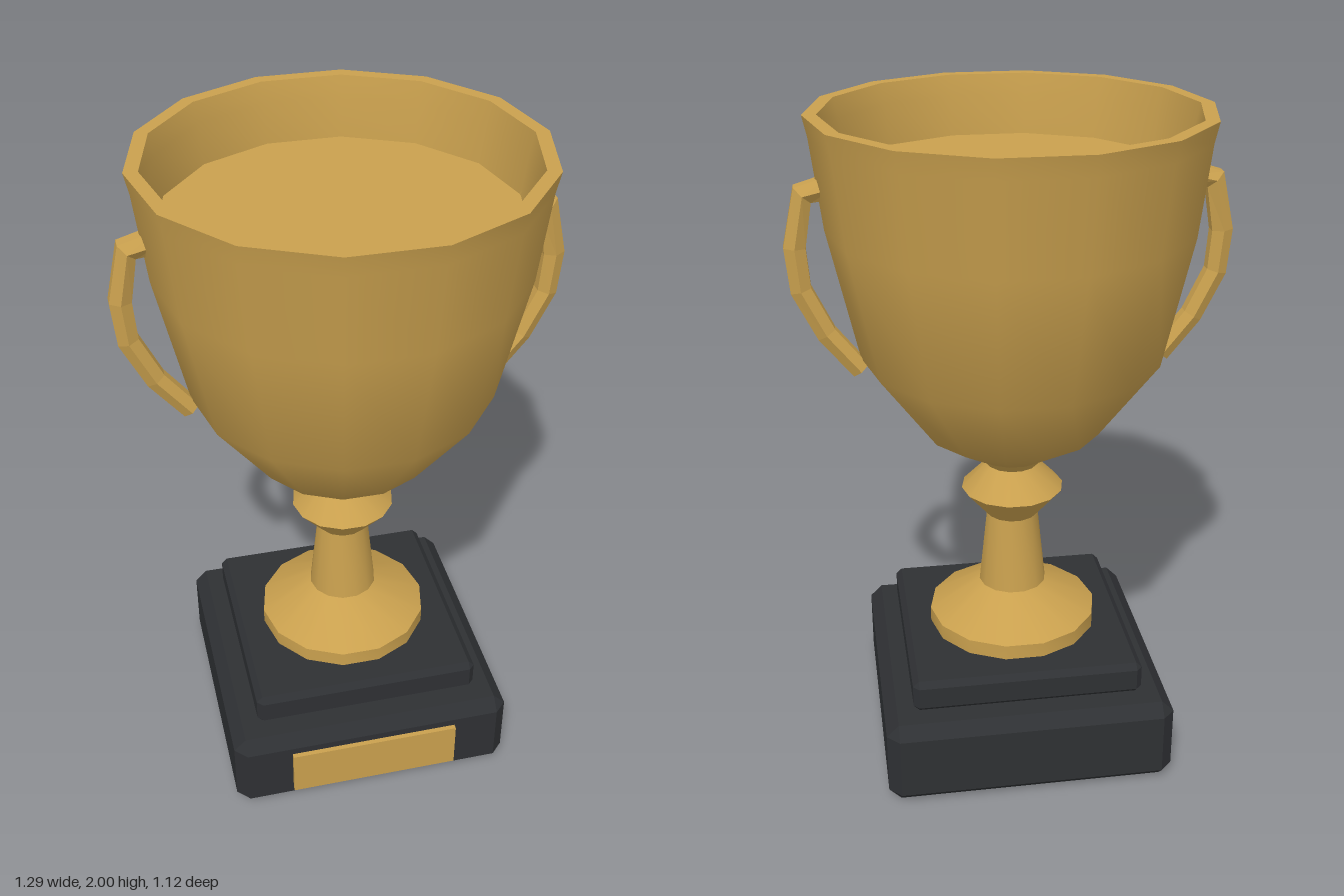
import * as THREE from 'three';
import { toCreasedNormals } from 'three/addons/utils/BufferGeometryUtils.js';
import { ConvexGeometry } from 'three/addons/geometries/ConvexGeometry.js';

const SIDES = 14;
const gold = new THREE.MeshStandardMaterial({ color: 0xc9a04e });
const goldFlat = new THREE.MeshStandardMaterial({ color: 0xc9a04e, flatShading: true });
const black = new THREE.MeshStandardMaterial({ color: 0x2e3033, flatShading: true });

function part(name, geometry, material) {
  const mesh = new THREE.Mesh(geometry, material);
  mesh.name = name;
  return mesh;
}

// Turned part from [radius, height] pairs, with a corner on the x axis
function turned(name, profile) {
  const points = profile.map(([r, y]) => new THREE.Vector2(r, y));
  const lathe = new THREE.LatheGeometry(points, SIDES, Math.PI / 2);
  return part(name, toCreasedNormals(lathe, 0.65), gold);
}

// Square block with every edge chamfered
function chamferedBlock(name, half, y0, y1, c) {
  const h = (y1 - y0) / 2;
  const points = [];
  for (const sx of [-1, 1]) for (const sy of [-1, 1]) for (const sz of [-1, 1]) {
    points.push(
      new THREE.Vector3(sx * half, sy * (h - c), sz * (half - c)),
      new THREE.Vector3(sx * (half - c), sy * h, sz * (half - c)),
      new THREE.Vector3(sx * (half - c), sy * (h - c), sz * half)
    );
  }
  const mesh = part(name, new ConvexGeometry(points), black);
  mesh.position.y = (y0 + y1) / 2;
  return mesh;
}

// Six-sided bar swept along a bent path in the xy plane, slightly tapered
function handleGeometry() {
  const path = [[0.5, 1.805], [0.585, 1.785], [0.615, 1.635], [0.605, 1.51], [0.54, 1.375], [0.447, 1.258]]
    .map(([x, y]) => new THREE.Vector3(x, y, 0));
  const n = 6, last = path.length - 1;
  const positions = [], index = [];
  path.forEach((p, i) => {
    const before = p.clone().sub(path[Math.max(i - 1, 0)]).normalize();
    const after = path[Math.min(i + 1, last)].clone().sub(p).normalize();
    const t = before.add(after).normalize();
    const r = 0.038 - 0.006 * i / last;
    for (let j = 0; j < n; j++) {
      const a = Math.PI / 6 + j * Math.PI * 2 / n;
      positions.push(p.x - t.y * r * Math.cos(a), p.y + t.x * r * Math.cos(a), r * Math.sin(a));
    }
  });
  for (let i = 0; i < last; i++) for (let j = 0; j < n; j++) {
    const a = i * n + j, b = i * n + (j + 1) % n;
    index.push(a, b, a + n, b, b + n, a + n);
  }
  // End caps
  for (let j = 1; j < n - 1; j++) {
    index.push(0, j + 1, j, last * n, last * n + j, last * n + j + 1);
  }
  const geometry = new THREE.BufferGeometry();
  geometry.setAttribute('position', new THREE.Float32BufferAttribute(positions, 3));
  geometry.setIndex(index);
  const flat = geometry.toNonIndexed();
  flat.computeVertexNormals();
  return flat;
}

export function createModel() {
  const trophy = new THREE.Group();
  trophy.name = 'trophy';

  // Stepped plinth with its blank plate
  trophy.add(chamferedBlock('lowerPlinth', 0.44, 0, 0.27, 0.037));
  trophy.add(chamferedBlock('upperPlinth', 0.352, 0.27, 0.373, 0.018));
  const plate = part('plate', new THREE.BoxGeometry(0.526, 0.155, 0.03), goldFlat);
  plate.position.set(0, 0.133, 0.44);
  trophy.add(plate);

  // Foot, stem and knot
  trophy.add(turned('stem', [
    [0, 0.37], [0.264, 0.37], [0.264, 0.42], [0.105, 0.515], [0.08, 0.755],
    [0.157, 0.845], [0.08, 0.925], [0.11, 0.96]
  ]));

  // Bowl: outer wall, rim, inner wall and floor
  trophy.add(turned('bowl', [
    [0, 0.95], [0.11, 0.955], [0.268, 1.05], [0.445, 1.29], [0.53, 1.68], [0.56, 1.94], [0.573, 2],
    [0.533, 2], [0.52, 1.94], [0.505, 1.82], [0, 1.82]
  ]));

  // Handles on both sides
  const handle = handleGeometry();
  const left = part('leftHandle', handle, goldFlat);
  const right = part('rightHandle', handle, goldFlat);
  right.rotation.y = Math.PI;
  trophy.add(left, right);

  return trophy;
}
